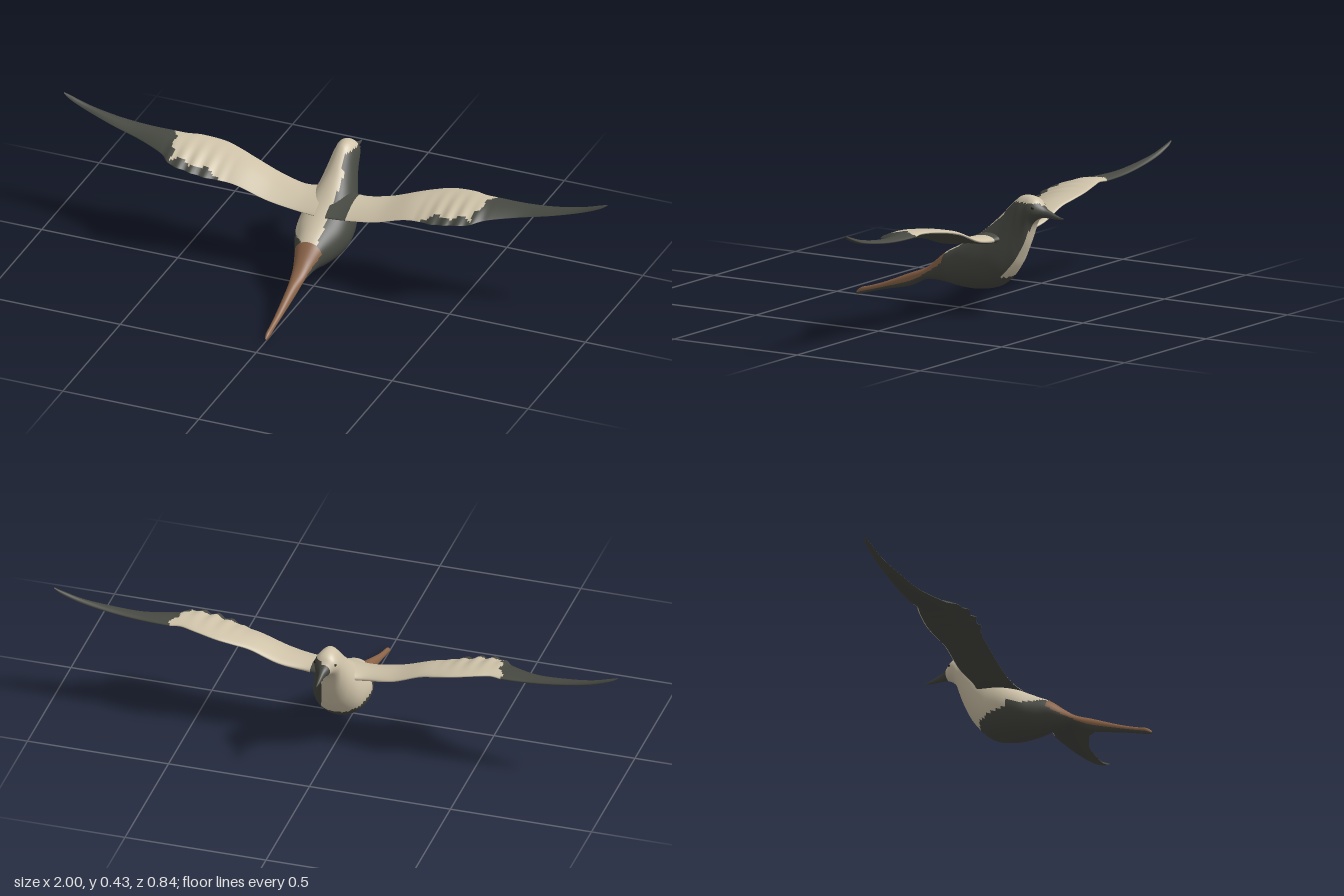
import * as THREE from 'three';

const mat = (name, color) => {
  const m = new THREE.MeshStandardMaterial({ color });
  m.name = name;
  return m;
};

// Body stations: z, top y, bottom y, half width, pear (narrower on top)
const BODY = [
  [-0.422, 0.352, 0.348, 0.001, 0], [-0.40, 0.358, 0.346, 0.005, 0],
  [-0.36, 0.375, 0.347, 0.012, 0], [-0.34, 0.388, 0.346, 0.022, 0],
  [-0.32, 0.409, 0.336, 0.037, 0], [-0.30, 0.418, 0.31, 0.044, 0],
  [-0.28, 0.42, 0.25, 0.047, 0], [-0.26, 0.417, 0.205, 0.053, 0.1],
  [-0.24, 0.406, 0.168, 0.06, 0.22], [-0.20, 0.368, 0.118, 0.076, 0.3],
  [-0.16, 0.328, 0.09, 0.088, 0.22], [-0.10, 0.277, 0.077, 0.096, 0.08],
  [-0.05, 0.244, 0.075, 0.089, 0], [0, 0.217, 0.078, 0.07, 0],
  [0.05, 0.19, 0.084, 0.049, -0.1], [0.10, 0.15, 0.087, 0.033, 0],
  [0.14, 0.122, 0.082, 0.025, 0], [0.20, 0.099, 0.054, 0.018, 0],
  [0.30, 0.058, 0.031, 0.012, 0], [0.36, 0.038, 0.016, 0.009, 0],
  [0.40, 0.027, 0.005, 0.008, 0], [0.42, 0.012, 0.001, 0.002, 0],
];

// Wing stations: x, leading z, trailing z, mid y, half thickness, nose-up tilt
const WING = [
  [0.02, -0.225, -0.05, 0.262, 0.026, 0.03], [0.1, -0.2, -0.058, 0.26, 0.019, 0.022],
  [0.2, -0.21, -0.056, 0.277, 0.014, 0.022], [0.3, -0.213, -0.054, 0.312, 0.013, 0.028],
  [0.36, -0.224, -0.048, 0.326, 0.013, 0.034], [0.42, -0.231, -0.03, 0.338, 0.013, 0.038],
  [0.5, -0.22, -0.028, 0.351, 0.012, 0.036], [0.55, -0.207, -0.04, 0.355, 0.012, 0.032],
  [0.6, -0.21, -0.085, 0.357, 0.012, 0.022], [0.7, -0.207, -0.13, 0.363, 0.01, 0.014],
  [0.8, -0.205, -0.152, 0.376, 0.008, 0.008], [0.9, -0.204, -0.174, 0.396, 0.007, 0.004],
  [0.97, -0.203, -0.184, 0.42, 0.005, 0.002], [1.0, -0.198, -0.192, 0.436, 0.001, 0],
];

// Smooth interpolation through a station table, k in 0..1
function station(table, k) {
  const f = k * (table.length - 1);
  const i = Math.min(Math.floor(f), table.length - 2), t = f - i;
  const at = (n) => table[Math.max(0, Math.min(table.length - 1, n))];
  return table[i].map((b, c) => {
    const a = at(i - 1)[c], d = at(i + 1)[c], e = at(i + 2)[c];
    return b + 0.5 * t * (d - a + t * (2 * a - 5 * b + 4 * d - e + t * (3 * (b - d) + e - a)));
  });
}

// Closed loft: point(k, angle) gives the surface, paint(k, angle, p) a material index
function loft(point, paint, materials, rings, sides, flip) {
  const pos = [], faces = materials.map(() => []);
  const ang = (j) => (j / sides) * Math.PI * 2;
  for (let i = 0; i <= rings; i++)
    for (let j = 0; j < sides; j++) pos.push(...point(i / rings, ang(j)));
  for (let i = 0; i < rings; i++)
    for (let j = 0; j < sides; j++) {
      const a = i * sides + j, b = i * sides + ((j + 1) % sides);
      const c = a + sides, d = b + sides;
      const k = (i + 0.5) / rings, t = ang(j + 0.5);
      const out = faces[paint(k, t, point(k, t))];
      if (flip) out.push(a, c, b, b, c, d);
      else out.push(a, b, c, b, d, c);
    }
  const geo = new THREE.BufferGeometry();
  geo.setAttribute('position', new THREE.Float32BufferAttribute(pos, 3));
  geo.setIndex(faces.flat());
  let start = 0;
  faces.forEach((f, n) => {
    if (f.length) geo.addGroup(start, f.length, n);
    start += f.length;
  });
  geo.computeVertexNormals();
  return new THREE.Mesh(geo, materials);
}

export function createModel() {
  const group = new THREE.Group();
  const dark = mat('dark plumage', 0x474942);
  const cream = mat('cream plumage', 0xcfc3a9);
  const brown = mat('brown tail', 0x8c6448);
  const black = mat('eye black', 0x1b1b19);
  const mats = [dark, cream, brown];
  const DARK = 0, CREAM = 1, BROWN = 2;

  // Body with head, beak and tail in one smooth form
  const bodyPoint = (k, t) => {
    const [z, top, bottom, w, pear] = station(BODY, k);
    const b = Math.sin(t);
    return [Math.cos(t) * w * (1 - pear * b), (top + bottom) / 2 + (b * (top - bottom)) / 2, z];
  };
  const bodyPaint = (k, t, [x, y, z]) => {
    const a = Math.cos(t), b = Math.sin(t);
    if (z > 0.045) return b > (z < 0.14 ? 0.35 - (z - 0.045) * 4 : -0.2) ? BROWN : DARK;
    if (z < -0.338) return DARK; // beak
    if (z < -0.2 && y > 0.3) return a < 0.35 || y > 0.397 ? CREAM : DARK; // head
    if (z < -0.2) return a < 0.5 && y > 0.13 ? CREAM : DARK; // throat and breast
    const low = 0.14 + (z + 0.2) * 0.2; // side edge climbs toward the tail
    return x < 0.03 && y > low && (z < -0.08 || b > 0.25) ? CREAM : DARK;
  };
  const body = loft(bodyPoint, bodyPaint, mats, 130, 56, false);
  body.name = 'body';
  group.add(body);

  for (const side of [1, -1]) {
    // Wing: cream above near the body, dark below and toward the tip
    const wingPoint = (k, t) => {
      const [x, lead, trail, mid, thick, tilt] = station(WING, k);
      const u = (1 - Math.cos(t)) / 2;
      // scalloped feather ends on the broad part of the trailing edge
      const broad = Math.max(0, 1 - Math.abs(x - 0.47) / 0.14);
      const edge = trail + 0.007 * broad * Math.sin(x * 125);
      const ripple = 0.003 * broad * u * Math.sin(x * 125);
      const arch = 0.01 * Math.sin(Math.PI * u) * Math.min(1, thick / 0.012);
      return [
        side * x,
        mid + tilt * (0.5 - u) + Math.sin(t) * thick * (1 - 0.6 * u) + arch - 0.004 + ripple,
        lead + (edge - lead) * u,
      ];
    };
    const wingPaint = (k, t, [px, , z]) => {
      const x = Math.abs(px);
      if (Math.sin(t) < (Math.cos(t) > 0 ? -0.35 : 0)) return DARK;
      if (side > 0 && x < 0.095) return DARK;
      if (x > 0.585 - (z + 0.2) * 0.25 + 0.008 * Math.sin(z * 90)) return DARK;
      if (x > 0.37 && z > -0.06 + 0.01 * Math.sin(x * 70)) return DARK;
      return CREAM;
    };
    const wing = loft(wingPoint, wingPaint, mats, 130, 40, side < 0);
    wing.name = side > 0 ? 'leftWing' : 'rightWing';
    group.add(wing);

    // Eye
    const eye = new THREE.Mesh(new THREE.SphereGeometry(0.005, 14, 10), black);
    eye.name = side > 0 ? 'leftEye' : 'rightEye';
    eye.position.set(side * 0.035, 0.383, -0.318);
    group.add(eye);
  }
  return group;
}
